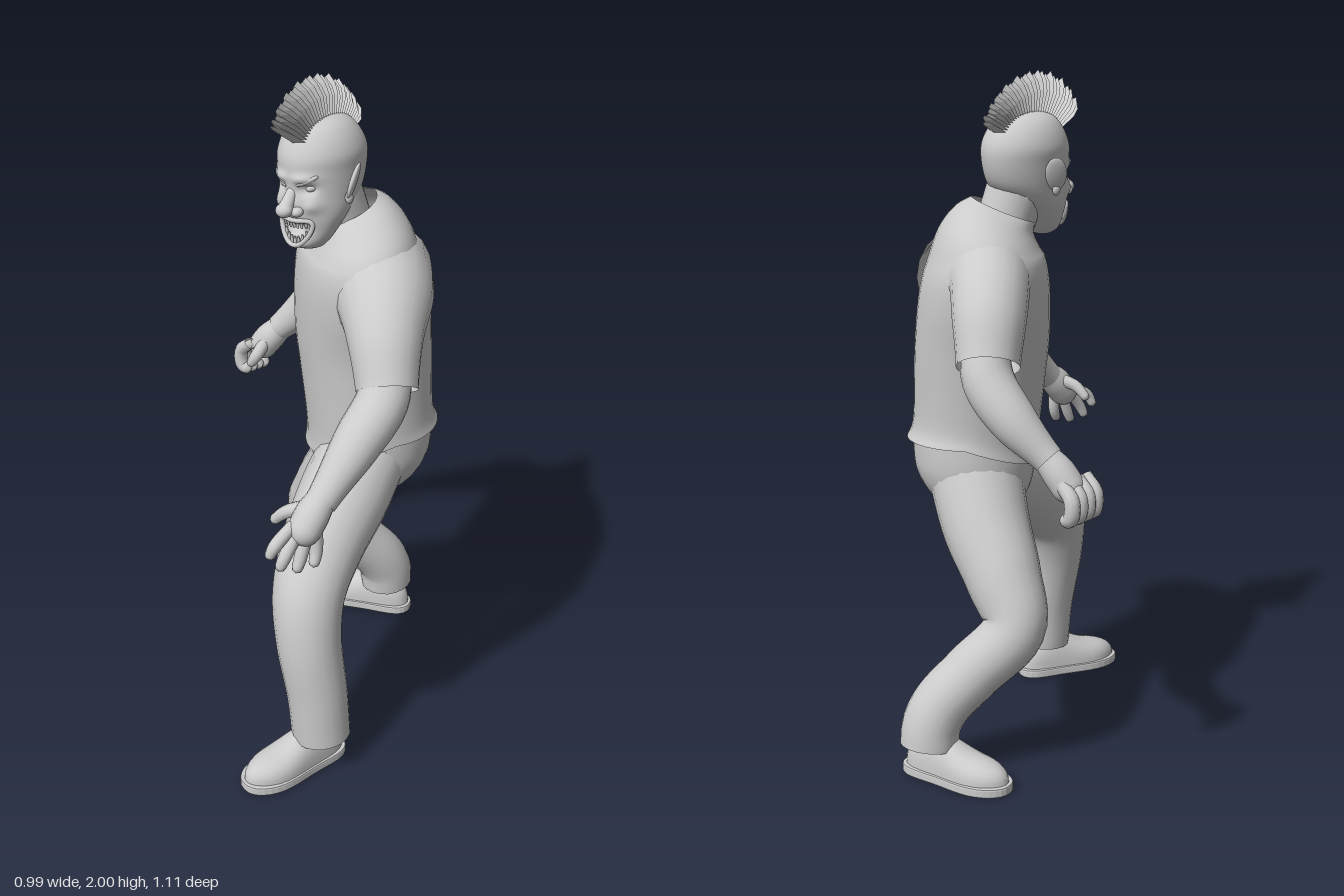
import * as THREE from 'three';
import { mergeVertices } from 'three/addons/utils/BufferGeometryUtils.js';

const mat = new THREE.MeshStandardMaterial({ color: 0xcccccc, side: THREE.DoubleSide });
const flat = new THREE.MeshStandardMaterial({ color: 0xcccccc, flatShading: true, side: THREE.DoubleSide });

function mesh(name, geo, parent, material = mat) {
  const m = new THREE.Mesh(geo, material);
  m.name = name;
  parent.add(m);
  return m;
}

// Catmull-Rom sample of a list of number rows, t in 0..1
function sample(rows, t) {
  const n = rows.length - 1;
  const i = Math.min(Math.floor(t * n), n - 1), f = t * n - i;
  const [a, b, c, d] = [-1, 0, 1, 2].map(k => rows[THREE.MathUtils.clamp(i + k, 0, n)]);
  return b.map((v, k) => v + 0.5 * f * (c[k] - a[k] +
    f * (2 * a[k] - 5 * v + 4 * c[k] - d[k] + f * (3 * (v - c[k]) + d[k] - a[k]))));
}

// Skin over ellipses stacked upwards; rows are [y, cx, cz, halfWidth, halfDepth]
function loft(rows, yaw = 0, rule = null, steps = 40, sides = 40) {
  const pos = [], idx = [], v = new THREE.Vector3(), up = new THREE.Vector3(0, 1, 0);
  for (let i = 0; i <= steps; i++) {
    const [y, cx, cz, a, b] = sample(rows, i / steps);
    for (let j = 0; j < sides; j++) {
      const t = (j / sides) * Math.PI * 2;
      v.set(Math.cos(t) * a, 0, Math.sin(t) * b);
      const forward = v.z;
      v.applyAxisAngle(up, yaw).add(new THREE.Vector3(cx, y, cz));
      if (rule) rule(v, forward);
      pos.push(v.x, v.y, v.z);
      if (i < steps) {
        const p = i * sides + j, q = i * sides + (j + 1) % sides;
        idx.push(p, p + sides, q, q, p + sides, q + sides);
      }
    }
  }
  const g = new THREE.BufferGeometry();
  g.setAttribute('position', new THREE.Float32BufferAttribute(pos, 3));
  g.setIndex(idx);
  g.computeVertexNormals();
  return g;
}

// Tube of changing radius through [x, y, z, r] points, with an optional rounded tip
function limb(pts, round = false, seg = 28, sides = 20) {
  const curve = new THREE.CatmullRomCurve3(pts.map(p => new THREE.Vector3(p[0], p[1], p[2])));
  const len = curve.getLength(), radii = pts.map(p => [p[3]]);
  let g = new THREE.TubeGeometry(curve, seg, 1, sides);
  const P = g.attributes.position, N = g.attributes.normal, n = new THREE.Vector3();
  for (let i = 0; i <= seg; i++) {
    const u = i / seg, c = curve.getPointAt(u);
    let r = sample(radii, curve.getUtoTmapping(u))[0];
    const d = (1 - u) * len;
    if (round && d < r) r *= Math.sqrt(Math.max(0.0005, 1 - (1 - d / r) ** 2));
    for (let j = 0; j <= sides; j++) {
      const k = i * (sides + 1) + j;
      n.fromBufferAttribute(N, k).multiplyScalar(r).add(c);
      P.setXYZ(k, n.x, n.y, n.z);
    }
  }
  g.deleteAttribute('uv');
  g.deleteAttribute('normal');
  g = mergeVertices(g, 1e-5);
  g.computeVertexNormals();
  return g;
}

// Shoe pointing along local +z: sole plus domed upper that rises to the heel
function shoe(name, x, z, yaw, parent) {
  const s = new THREE.Group();
  s.name = name;
  const half = t => 0.07 + 0.011 * Math.sin(t * 3 - 0.6);
  const outline = Array.from({ length: 40 }, (_, i) => {
    const a = (i / 40) * Math.PI * 2, l = Math.sin(a);
    return new THREE.Vector2(Math.sign(Math.cos(a)) * Math.abs(Math.cos(a)) ** 0.8 * half(l), -l * 0.175);
  });
  const sole = new THREE.ExtrudeGeometry(new THREE.Shape(outline),
    { depth: 0.016, bevelSize: 0.004, bevelThickness: 0.006, bevelSegments: 2 });
  sole.rotateX(-Math.PI / 2).translate(0, 0.008, 0);
  mesh('sole', sole, s);
  const upper = new THREE.SphereGeometry(1, 32, 12, 0, Math.PI * 2, 0, Math.PI / 2);
  const P = upper.attributes.position;
  for (let i = 0; i < P.count; i++) {
    const l = P.getZ(i), h = THREE.MathUtils.lerp(0.125, 0.075, THREE.MathUtils.smoothstep(l, -0.5, 0.45));
    P.setXYZ(i, P.getX(i) * half(l) * 0.97, 0.024 + h * Math.max(0, P.getY(i)) ** 0.75, l * 0.17);
  }
  upper.computeVertexNormals();
  mesh('upper', upper, s);
  s.position.set(x, 0, z);
  s.rotation.y = yaw;
  parent.add(s);
}

function makeHead() {
  const head = new THREE.Group();
  head.name = 'head';
  // Face relief: [x, y, spreadX, spreadY, depth], mirrored in x
  const relief = [[0, -0.03, 0.022, 0.02, 0.016], [0.04, 0.045, 0.03, 0.012, 0.012], [0.045, 0.015, 0.02, 0.014, -0.02],
    [0.062, -0.03, 0.02, 0.02, 0.014], [0, -0.1, 0.036, 0.024, -0.03], [0, -0.152, 0.03, 0.012, 0.012]];
  const rows = [[-0.172, 0, 0.05, 0.002, 0.002], [-0.163, 0, 0.05, 0.038, 0.034], [-0.14, 0, 0.05, 0.062, 0.057],
    [-0.1, 0, 0.035, 0.083, 0.08], [-0.06, 0, 0.015, 0.097, 0.105], [-0.01, 0, -0.007, 0.104, 0.128],
    [0.05, 0, -0.017, 0.11, 0.137], [0.1, 0, -0.018, 0.113, 0.134], [0.15, 0, -0.017, 0.095, 0.108],
    [0.182, 0, -0.015, 0.063, 0.07], [0.2, 0, -0.015, 0.002, 0.002]];
  mesh('skull', loft(rows, 0, v => {
    if (v.z < 0.02) return;
    const { x, y } = v;
    for (const [bx, by, sx, sy, d] of relief)
      v.z += d * Math.exp(-(((Math.abs(x) - bx) / sx) ** 2) - ((y - by) / sy) ** 2);
  }, 80, 80), head);

  // Short bulbous nose, slanted brows, eyes and ears
  mesh('nose', limb([[0, 0.02, 0.1, 0.014], [0, -0.01, 0.125, 0.017], [0, -0.035, 0.145, 0.021]]), head);
  const ball = (name, x, y, z, sx, sy, sz) => {
    const m = mesh(name, new THREE.SphereGeometry(1, 20, 14), head);
    m.position.set(x, y, z);
    m.scale.set(sx, sy, sz);
    return m;
  };
  ball('noseTip', 0, -0.037, 0.149, 0.025, 0.02, 0.023);
  for (const s of [1, -1]) {
    ball('nostril', s * 0.027, -0.043, 0.127, 0.017, 0.014, 0.018);
    ball('eye', s * 0.045, 0.016, 0.086, 0.018, 0.011, 0.013).rotation.z = s * 0.3;
    ball('brow', s * 0.044, 0.04, 0.1, 0.036, 0.01, 0.014).rotation.set(0, s * 0.45, s * 0.4);
    ball('ear', s * 0.12, 0.025, -0.004, 0.01, 0.052, 0.032).rotation.set(-0.15, s * 0.55, -s * 0.25);
    ball('earLobe', s * 0.112, -0.02, 0.008, 0.01, 0.018, 0.013);
  }

  // Wide grin with two rows of teeth
  const lip = Array.from({ length: 20 }, (_, i) => {
    const a = (i / 20) * Math.PI * 2, x = Math.cos(a) * 0.056;
    return new THREE.Vector3(x, -0.11 + Math.sin(a) * 0.036 + 8 * x * x, 0.119 - 6 * x * x);
  });
  mesh('lips', new THREE.TubeGeometry(new THREE.CatmullRomCurve3(lip, true), 60, 0.007, 8, true), head);
  for (const s of [1, -1]) for (let i = -3; i <= 3; i++) {
    const x = i * 0.012, tooth = mesh('tooth', new THREE.CylinderGeometry(0.006, 0.003, 0.022, 8), head);
    tooth.position.set(x, -0.11 + 8 * x * x + s * (0.024 - 7 * x * x), 0.112 - 6 * x * x);
    if (s < 0) tooth.rotation.z = Math.PI;
  }

  // Crest of flat pointed blades fanned over the crown
  const crest = new THREE.Group();
  crest.name = 'hairCrest';
  const blade = new THREE.LatheGeometry([[0.038, 0], [0.038, 0.6], [0.025, 0.82], [0, 1]].map(p => new THREE.Vector2(...p)), 4);
  const count = 30;
  for (let i = 0; i < count; i++) {
    const t = i / (count - 1), a = THREE.MathUtils.lerp(0.96, -1.02, t);
    const tip = 0.185 + 0.055 * Math.cos((t - 0.2) * 1.7) ** 2 + 0.006 * Math.sin(i * 2.3);
    const b = mesh('hairBlade', blade, crest, flat);
    b.position.set(0, 0.07 + Math.cos(a) * 0.1, -0.015 + Math.sin(a) * 0.1);
    b.rotation.x = a;
    b.scale.set(1, tip - 0.1, 0.25);
  }
  head.add(crest);
  head.position.set(0.06, 1.7, 0);
  head.rotation.z = 0.07;
  return head;
}

export function createModel() {
  const g = new THREE.Group();
  g.name = 'figure';
  const yaw = -0.66, clamp = THREE.MathUtils.clamp;

  g.add(makeHead());
  mesh('neck', limb([[0.1, 1.46, -0.11, 0.09], [0.085, 1.57, -0.07, 0.085], [0.065, 1.7, -0.025, 0.09]]), g);

  // Shirt: hem and collar drop at the front
  mesh('shirt', loft([[0.94, 0.143, -0.148, 0.202, 0.198], [1.0, 0.14, -0.14, 0.199, 0.187], [1.2, 0.118, -0.135, 0.215, 0.197],
    [1.35, 0.11, -0.13, 0.25, 0.193], [1.45, 0.105, -0.125, 0.26, 0.178], [1.53, 0.105, -0.117, 0.23, 0.147],
    [1.585, 0.095, -0.102, 0.16, 0.113], [1.612, 0.08, -0.08, 0.1, 0.092]], yaw, (v, forward) => {
    const low = clamp((1.15 - v.y) / 0.21, 0, 1), high = clamp((v.y - 1.48) / 0.13, 0, 1);
    v.y -= low * 0.33 * Math.max(0, forward + 0.03) + high * 0.4 * forward;
  }), g);
  // Sleeves start wide inside the chest so the shoulders slope
  mesh('leftSleeve', limb([[0.15, 1.41, -0.145, 0.16], [0.272, 1.405, -0.028, 0.14], [0.352, 1.34, 0.062, 0.106], [0.411, 1.225, 0.122, 0.086]]), g);
  mesh('rightSleeve', limb([[0.07, 1.43, -0.165, 0.14], [-0.05, 1.425, -0.243, 0.115], [-0.135, 1.35, -0.315, 0.103], [-0.188, 1.23, -0.365, 0.088]]), g);

  // Forearms
  mesh('leftForearm', limb([[0.39, 1.3, 0.1, 0.065], [0.415, 1.21, 0.145, 0.073], [0.415, 1.12, 0.25, 0.068], [0.405, 0.99, 0.39, 0.044]]), g);
  mesh('rightForearm', limb([[-0.16, 1.3, -0.35, 0.065], [-0.2, 1.2, -0.375, 0.072], [-0.285, 1.1, -0.36, 0.066], [-0.38, 1.0, -0.315, 0.043]]), g);

  // Open left hand, curled right hand
  const hand = (name, palm, fingers) => {
    const h = new THREE.Group();
    h.name = name;
    mesh('palm', limb(palm, true), h);
    fingers.forEach((f, i) => mesh(i ? 'finger' : 'thumb', limb(f, true, 20, 10), h));
    g.add(h);
  };
  hand('leftHand', [[0.406, 1.01, 0.37, 0.038], [0.402, 0.965, 0.42, 0.048], [0.4, 0.895, 0.475, 0.044]], [
    [[0.385, 0.98, 0.415, 0.022], [0.335, 0.96, 0.445, 0.019], [0.293, 0.918, 0.46, 0.014]],
    ...[[0.36, 0.87, 0.55], [0.382, 0.832, 0.532], [0.408, 0.817, 0.492], [0.433, 0.825, 0.45]].map(([x, y, z], i) => [
      [0.378 + i * 0.015, 0.945, 0.468 - i * 0.014, 0.018],
      [x * 0.6 + 0.156 + i * 0.004, y + 0.04, z - 0.018, 0.018], [x, y, z, 0.014]])]);
  hand('rightHand', [[-0.365, 1.015, -0.322, 0.038], [-0.405, 0.965, -0.3, 0.047], [-0.452, 0.895, -0.28, 0.045]], [
    [[-0.4, 0.965, -0.275, 0.02], [-0.407, 0.92, -0.235, 0.02], [-0.43, 0.88, -0.222, 0.015]],
    ...[0, 1, 2, 3].map(i => {
      const z = -0.235 - i * 0.028, y = -i * 0.003;
      return [[-0.435, 0.955 + y, z, 0.02], [-0.475, 0.915 + y, z, 0.022],
        [-0.47, 0.865 + y, z, 0.022], [-0.435, 0.855 + y, z, 0.018]];
    })]);

  // Trousers: pelvis and two bent legs
  mesh('pelvis', loft([[0.69, 0.12, -0.135, 0.01, 0.01], [0.705, 0.12, -0.135, 0.08, 0.075], [0.765, 0.13, -0.14, 0.16, 0.142],
    [0.85, 0.14, -0.145, 0.19, 0.178], [0.97, 0.143, -0.146, 0.19, 0.182]], yaw), g);
  mesh('leftTrouserLeg', limb([[0.18, 0.88, -0.09, 0.13], [0.2, 0.775, 0.04, 0.135], [0.23, 0.67, 0.178, 0.121], [0.262, 0.57, 0.27, 0.107],
    [0.29, 0.44, 0.303, 0.097], [0.322, 0.25, 0.3, 0.09], [0.333, 0.11, 0.295, 0.088]], false, 40), g);
  mesh('rightTrouserLeg', limb([[0.11, 0.86, -0.175, 0.14], [0.015, 0.705, -0.21, 0.13], [-0.087, 0.57, -0.23, 0.112], [-0.158, 0.44, -0.25, 0.092],
    [-0.092, 0.31, -0.355, 0.087], [-0.045, 0.22, -0.43, 0.086], [-0.032, 0.16, -0.46, 0.086], [-0.032, 0.1, -0.468, 0.086]], false, 44), g);

  shoe('leftShoe', 0.295, 0.375, -0.24, g);
  shoe('rightShoe', -0.11, -0.43, -1.25, g);
  return g;
}
